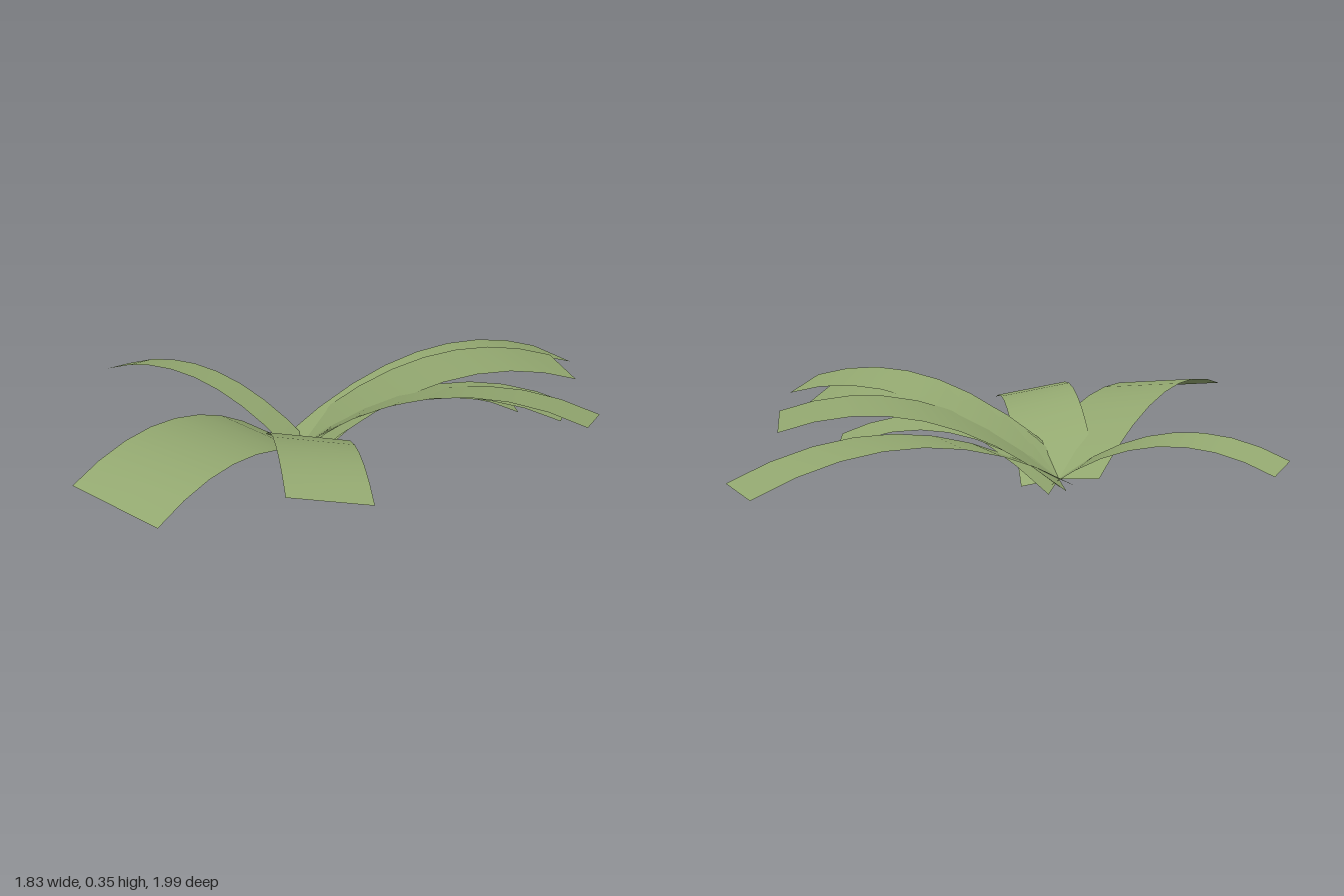
import * as THREE from 'three';

const ROOT = new THREE.Vector3(-0.11, 0.03, 0.025);
const SEGMENTS = 8;

// Each leaf: tip centre x/z, width, tip height, peak height, sideways roll (rise across the width)
const LEAVES = [
  { x: 0.51, z: -0.94, w: 0.217, tip: 0.16, peak: 0.25, roll: 0.0 },
  { x: 0.665, z: -0.52, w: 0.28, tip: 0.272, peak: 0.317, roll: 0.01 },
  { x: 0.56, z: -0.32, w: 0.14, tip: 0.17, peak: 0.235, roll: 0.02 },
  { x: 0.79, z: -0.116, w: 0.26, tip: 0.27, peak: 0.315, roll: 0.04 },
  { x: 0.905, z: -0.035, w: 0.2, tip: 0.29, peak: 0.338, roll: 0.032 },
  { x: 0.31, z: 0.655, w: 0.265, tip: 0.188, peak: 0.232, roll: 0.045 },
  { x: -0.23, z: 0.975, w: 0.322, tip: 0.2, peak: 0.26, roll: 0.05 },
  { x: -0.912, z: -0.05, w: 0.136, tip: 0.18, peak: 0.235, roll: -0.02 },
];

// A flat strip that rises from the root along a parabola and droops at its tip
function leafGeometry({ x, z, w, tip, peak, roll }) {
  const dx = x - ROOT.x, dz = z - ROOT.z, length = Math.hypot(dx, dz);
  const sideX = -dz / length, sideZ = dx / length;
  const dT = tip - ROOT.y, dP = peak - ROOT.y;
  const b = 2 * dP - dT + 2 * Math.sqrt(dP * dP - dP * dT);
  const a = dT + b;

  const geometry = new THREE.PlaneGeometry(1, 1, 1, SEGMENTS);
  const p = geometry.attributes.position;
  for (let i = 0; i < p.count; i++) {
    const side = p.getX(i), t = p.getY(i) + 0.5;
    p.setXYZ(
      i,
      ROOT.x + dx * t + sideX * w * side,
      ROOT.y + a * t - b * t * t + roll * side,
      ROOT.z + dz * t + sideZ * w * side
    );
  }
  geometry.computeVertexNormals();
  return geometry;
}

export function createModel() {
  const plant = new THREE.Group();
  plant.name = 'leafyPlant';
  const green = new THREE.MeshStandardMaterial({ color: 0x93a870, side: THREE.DoubleSide });
  green.name = 'leafGreen';

  LEAVES.forEach((leaf, i) => {
    const mesh = new THREE.Mesh(leafGeometry(leaf), green);
    mesh.name = `leaf${i + 1}`;
    plant.add(mesh);
  });
  return plant;
}
